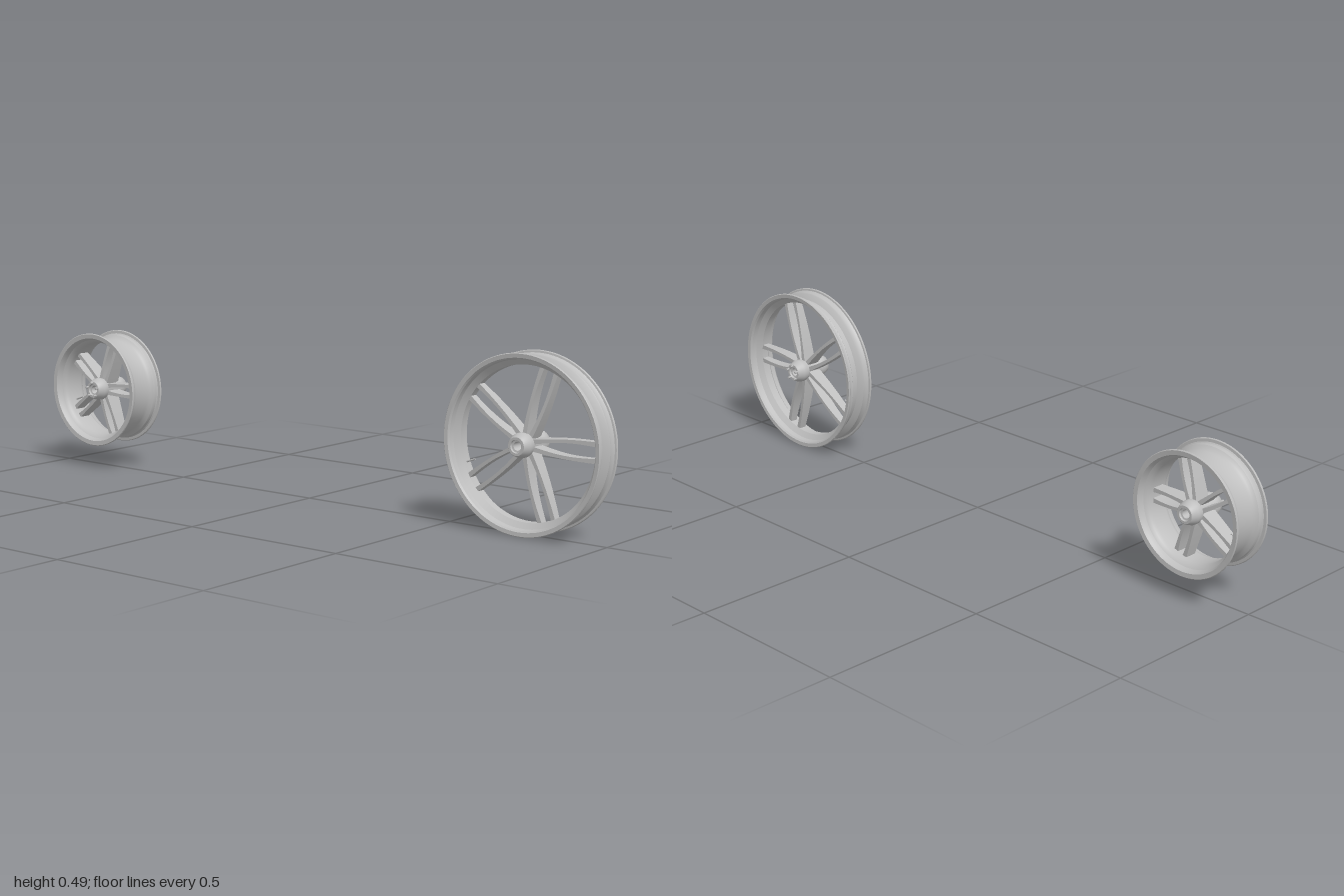
import * as THREE from 'three';
import { toCreasedNormals } from 'three/addons/utils/BufferGeometryUtils.js';

const metal = new THREE.MeshStandardMaterial({ color: 0xbebebe });
metal.name = 'brushed silver';

function add(parent, geometry, name) {
  const mesh = new THREE.Mesh(geometry, metal);
  mesh.name = name;
  parent.add(mesh);
  return mesh;
}

// Creasing matches corners on a coarse grid, so it is done at a larger scale
function crease(geometry) {
  return toCreasedNormals(geometry.scale(100, 100, 100), 0.5).scale(0.01, 0.01, 0.01);
}

// Closed profile of [radius, z], mirrored front to back, spun around the z axle
function spin(outer, inner, segments) {
  const flip = (list) => list.map(([r, z]) => [r, -z]).reverse();
  const loop = [...flip(outer), ...outer, ...inner, ...flip(inner)];
  loop.push(loop[0]);
  const g = new THREE.LatheGeometry(loop.map(([r, z]) => new THREE.Vector2(r, z)), segments);
  return crease(g.rotateX(Math.PI / 2));
}

// Bowed blade running outwards along +x, deeper at the hub than at the rim
function spokeGeometry(o) {
  const steps = 14, r0 = 0.022, r1 = o.spokeEnd;
  const left = [], right = [];
  for (let i = 0; i <= steps; i++) {
    const t = i / steps;
    const x = r0 + (r1 - r0) * t;
    const mid = o.rootGap + (o.tipGap - o.rootGap) * t + o.bow * Math.sin(Math.PI * t);
    const half = o.thick * (0.62 - 0.2 * Math.sin(Math.PI * t));
    left.push(new THREE.Vector2(x, mid + half));
    right.push(new THREE.Vector2(x, mid - half));
  }
  const g = new THREE.ExtrudeGeometry(new THREE.Shape([...right, ...left.reverse()]), {
    depth: 1, steps: 1, bevelEnabled: false,
  });
  g.translate(0, 0, -0.5);
  const p = g.attributes.position;
  for (let i = 0; i < p.count; i++) {
    const t = (p.getX(i) - r0) / (r1 - r0);
    p.setZ(i, p.getZ(i) * (o.rootDepth + (o.tipDepth - o.rootDepth) * t));
  }
  return crease(g);
}

function wheel(name, o) {
  const group = new THREE.Group();
  group.name = name;
  add(group, spin(o.rimOuter, o.rimInner, 96), 'rim');

  // Flared hub with an open axle bore
  add(group, spin(
    [[0.028, 0.012], [0.034, 0.03], [0.034, o.hub - 0.02], [0.027, o.hub - 0.002], [0.025, o.hub]],
    [[0.018, o.hub], [0.017, o.hub - 0.006], [0.012, o.hub - 0.007]], 40), 'hub');

  // Five pairs of spokes
  const spoke = spokeGeometry(o);
  for (let i = 0; i < 5; i++) {
    const pair = new THREE.Group();
    pair.name = 'spokePair';
    pair.rotation.z = i * Math.PI * 0.4;
    add(pair, spoke, 'spoke');
    add(pair, spoke, 'spoke').rotation.x = Math.PI;
    group.add(pair);
  }

  // Bolts on one hub face
  const bolt = new THREE.CylinderGeometry(0.0035, 0.0035, 0.014, 6).rotateX(Math.PI / 2);
  for (let i = 0; i < 5; i++) {
    const a = (i + 0.25) * Math.PI * 0.4;
    add(group, bolt, 'bolt').position.set(
      Math.cos(a) * 0.0215, Math.sin(a) * 0.0215, o.boltSide * 0.065);
  }

  // Air valve pointing from the rim to the hub
  const valve = add(group, new THREE.CylinderGeometry(0.0022, 0.003, 0.032, 10), 'valve');
  const angle = Math.PI * 1.11;
  valve.position.set(Math.cos(angle) * o.valve, Math.sin(angle) * o.valve, 0);
  valve.rotation.z = angle + Math.PI / 2;
  return group;
}

export function createModel() {
  const model = new THREE.Group();
  model.name = 'wheelPair';

  const large = wheel('largeWheel', {
    rimOuter: [[0.219, 0.010], [0.233, 0.019], [0.236, 0.022], [0.235, 0.026], [0.237, 0.036],
      [0.239, 0.039], [0.244, 0.040], [0.246, 0.042], [0.246, 0.044], [0.244, 0.046]],
    rimInner: [[0.233, 0.045], [0.229, 0.040], [0.227, 0.025], [0.212, 0.012]],
    hub: 0.062, boltSide: -1, valve: 0.199,
    spokeEnd: 0.217, rootGap: 0.009, tipGap: 0.022, bow: 0.006, thick: 0.011,
    rootDepth: 0.042, tipDepth: 0.022,
  });
  large.position.set(0.754, 0.246, 0);

  const small = wheel('smallWheel', {
    rimOuter: [[0.151, 0.026], [0.154, 0.034], [0.162, 0.042], [0.163, 0.046], [0.163, 0.054],
      [0.166, 0.057], [0.174, 0.058], [0.176, 0.060], [0.176, 0.062], [0.174, 0.064]],
    rimInner: [[0.161, 0.063], [0.157, 0.057], [0.155, 0.044], [0.147, 0.036], [0.144, 0.026]],
    hub: 0.062, boltSide: 1, valve: 0.13,
    spokeEnd: 0.148, rootGap: 0.010, tipGap: 0.015, bow: 0.003, thick: 0.011,
    rootDepth: 0.05, tipDepth: 0.034,
  });
  small.position.set(-0.824, 0.246, 0);

  model.add(large, small);
  return model;
}
